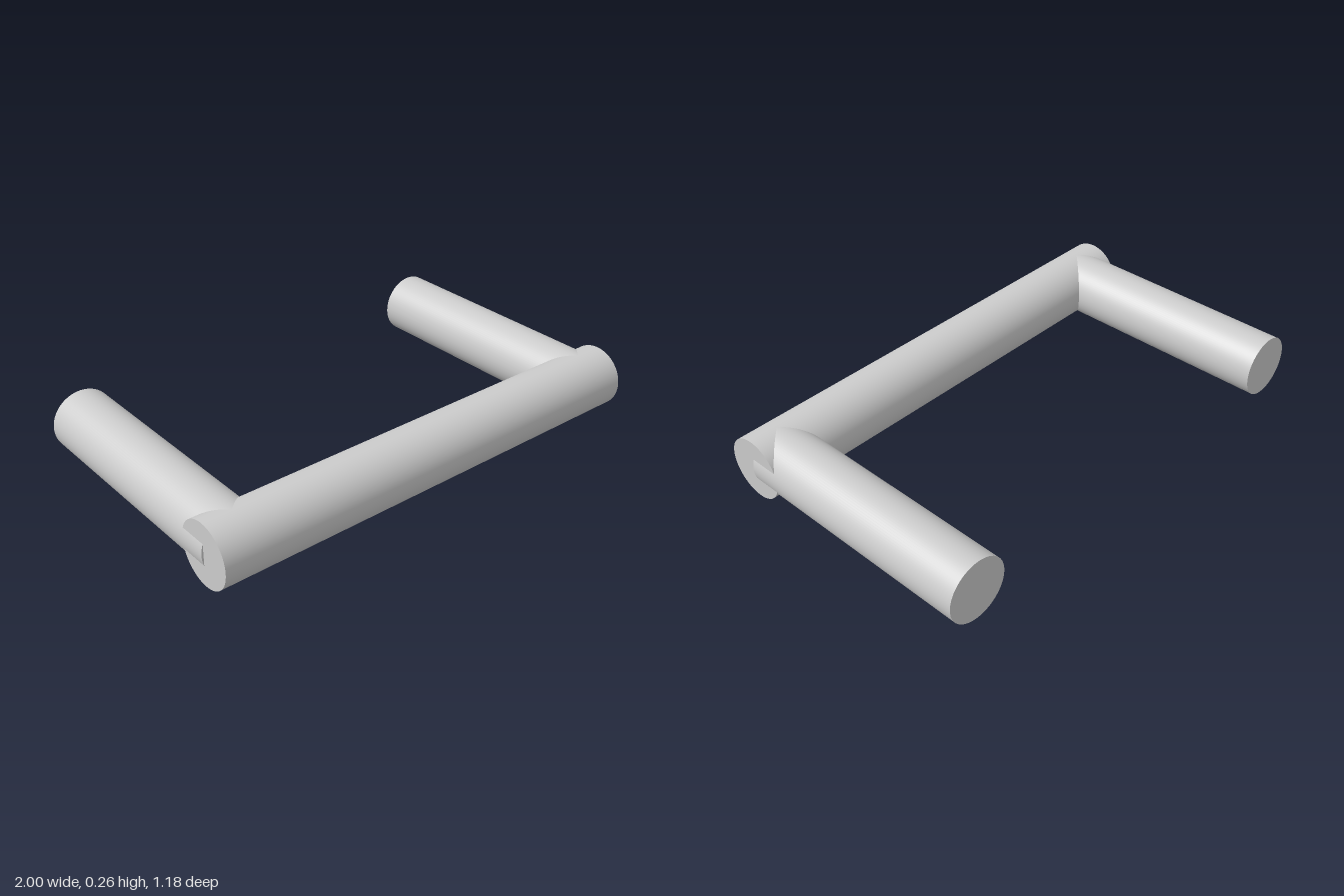
import * as THREE from 'three';

const RADIUS = 0.13;
const BAR_Z = 0.46;      // axis of the front bar
const BACK_Z = -0.59;    // free end of the legs
const LEG_X = 0.87;

export function createModel() {
  const group = new THREE.Group();
  group.name = 'pullHandle';
  const material = new THREE.MeshStandardMaterial({ color: 0xcccccc });

  // Grip bar along x
  const barGeometry = new THREE.CylinderGeometry(RADIUS, RADIUS, 1.984, 96);
  barGeometry.rotateZ(Math.PI / 2);
  const bar = new THREE.Mesh(barGeometry, material);
  bar.name = 'gripBar';
  bar.position.set(0, RADIUS, BAR_Z);
  group.add(bar);

  // Two legs running back from the bar's axis, slightly proud of its ends
  const legGeometry = new THREE.CylinderGeometry(RADIUS, RADIUS, BAR_Z - BACK_Z, 96);
  legGeometry.rotateX(Math.PI / 2);
  for (const [name, side] of [['leftLeg', 1], ['rightLeg', -1]]) {
    const leg = new THREE.Mesh(legGeometry, material);
    leg.name = name;
    leg.position.set(side * LEG_X, RADIUS, (BAR_Z + BACK_Z) / 2);
    group.add(leg);
  }
  return group;
}
